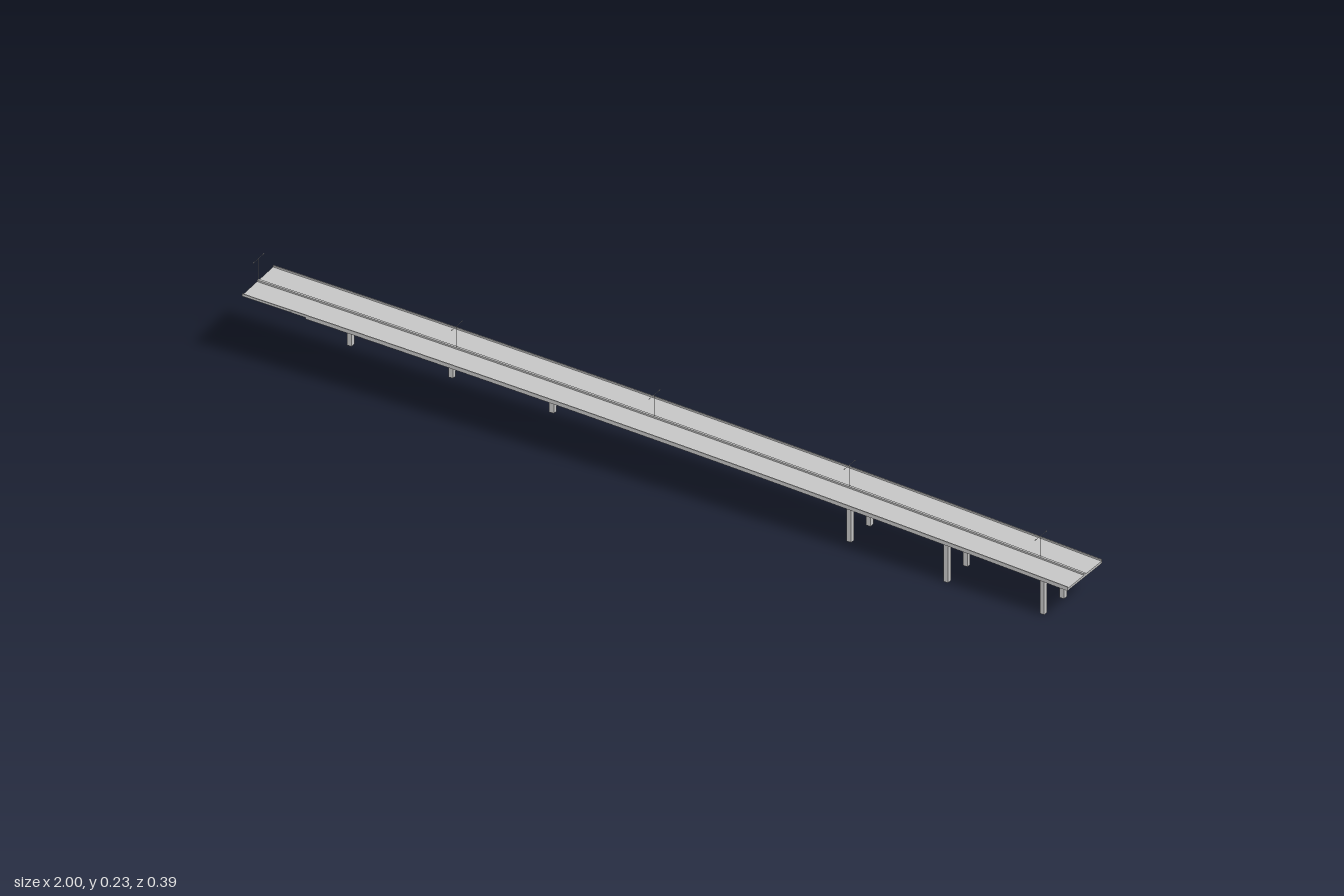
import * as THREE from 'three';

const concrete = new THREE.MeshStandardMaterial({ color: 0xc4c4c4 });
concrete.name = 'concreteGrey';

// Road centre line: gently curved in plan, falling steadily towards +x
const START = -0.99, END = 0.992;
const centreZ = x => -0.0145 - 0.1295 * x + 0.0147 * x * x;
const slopeZ = x => -0.1295 + 0.0294 * x;
const roadY = x => 0.1388 - 0.0405 * x;

// Point on the road at station x, offset u sideways (+z side) and v upwards
function roadPoint(x, u, v) {
  const s = slopeZ(x), n = Math.hypot(1, s);
  return [x - (u * s) / n, roadY(x) + v, centreZ(x) + u / n];
}

// Rectangular section swept along the road between two stations
function sweep(name, x0, x1, u0, u1, v0, v1) {
  const steps = Math.max(2, Math.round((x1 - x0) * 16));
  const corners = [[u0, v0], [u1, v0], [u1, v1], [u0, v1]];
  const pos = [];
  const quad = (a, b, c, d) => pos.push(...a, ...b, ...c, ...a, ...c, ...d);
  const ring = i => {
    const x = x0 + ((x1 - x0) * i) / steps;
    return corners.map(([u, v]) => roadPoint(x, u, v));
  };
  for (let i = 0; i < steps; i++) {
    const a = ring(i), b = ring(i + 1);
    for (let k = 0; k < 4; k++) {
      const m = (k + 1) % 4;
      quad(a[k], b[k], b[m], a[m]);
    }
  }
  const first = ring(0), last = ring(steps);
  quad(first[0], first[1], first[2], first[3]);
  quad(last[3], last[2], last[1], last[0]);
  const geo = new THREE.BufferGeometry();
  geo.setAttribute('position', new THREE.Float32BufferAttribute(pos, 3));
  geo.computeVertexNormals();
  const mesh = new THREE.Mesh(geo, concrete);
  mesh.name = name;
  return mesh;
}

// Box in a local frame
function box(name, w, h, d, x, y, z) {
  const mesh = new THREE.Mesh(new THREE.BoxGeometry(w, h, d), concrete);
  mesh.name = name;
  mesh.position.set(x, y, z);
  return mesh;
}

// Group standing on the road at station x, turned to follow it
function station(name, x) {
  const g = new THREE.Group();
  g.name = name;
  g.position.set(x, roadY(x), centreZ(x));
  g.rotation.y = -Math.atan(slopeZ(x));
  return g;
}

export function createModel() {
  const model = new THREE.Group();
  model.name = 'roadBridge';

  // Deck: thin approach slab, then the thicker bridge deck
  const half = 0.066, thick = -0.0055;
  model.add(sweep('approachSlab', START, -0.84, -half, half, -0.002, 0));
  model.add(sweep('bridgeDeck', -0.84, END, -half, half, thick, 0));

  // Parapets and central barrier
  for (const side of [-1, 1]) {
    const a = side * half, b = side * (half - 0.0022);
    model.add(sweep('parapet', START, END, Math.min(a, b), Math.max(a, b), 0, 0.0038));
  }
  model.add(sweep('medianBarrier', START, END, -0.0027, 0.0027, 0, 0.0038));

  // Piers: a cross beam on two columns, standing on uneven ground
  const piers = [[-0.75, 0.118], [-0.51, 0.115], [-0.27, 0.105], [0.445, 0.021], [0.68, 0], [0.915, 0]];
  for (const [x, ground] of piers) {
    const pier = station('pier', x);
    pier.add(box('crossBeam', 0.011, 0.005, 0.1, 0, thick - 0.0022, 0));
    const top = thick - 0.003, bottom = ground - roadY(x);
    for (const side of [-1, 1]) {
      pier.add(box('column', 0.011, top - bottom, 0.011, 0, (top + bottom) / 2, side * 0.0375));
    }
    model.add(pier);
  }

  // Double-armed street lamps along the median
  for (const x of [-0.988, -0.52, -0.05, 0.42, 0.885]) {
    const lamp = station('streetLamp', x);
    lamp.add(box('pole', 0.0007, 0.055, 0.0007, 0, 0.0275, 0));
    lamp.add(box('arm', 0.0005, 0.0005, 0.036, 0, 0.055, 0));
    for (const side of [-1, 1]) {
      lamp.add(box('lampHead', 0.0018, 0.0008, 0.005, 0, 0.0552, side * 0.02));
    }
    model.add(lamp);
  }
  return model;
}
